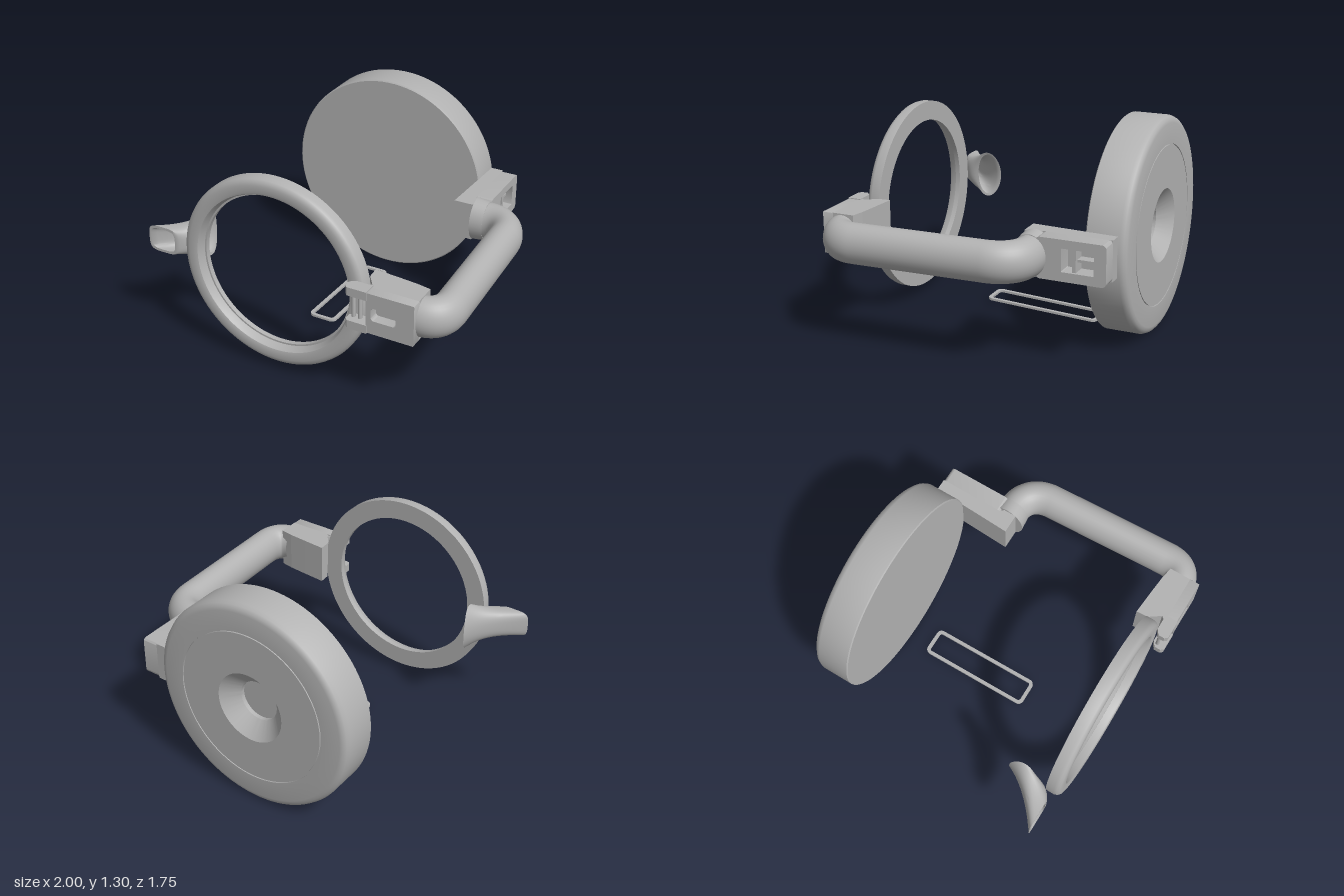
import * as THREE from 'three';
import { toCreasedNormals } from 'three/addons/utils/BufferGeometryUtils.js';

const CX = -0.13, CY = 0.655; // shared axis of the disc and ring
const grey = new THREE.MeshStandardMaterial({ color: 0xb2b2b2 });
grey.name = 'grey';

function part(name, geometry, parent, x = 0, y = 0, z = 0) {
  const mesh = new THREE.Mesh(geometry, grey);
  mesh.name = name;
  mesh.position.set(x, y, z);
  parent.add(mesh);
  return mesh;
}

const box = (x0, x1, y0, y1, z0, z1) =>
  new THREE.BoxGeometry(x1 - x0, y1 - y0, z1 - z0)
    .translate((x0 + x1) / 2, (y0 + y1) / 2, (z0 + z1) / 2);

// Turned part about the z axis, from [radius, z] points
function turned(points) {
  const geo = new THREE.LatheGeometry(points.map(p => new THREE.Vector2(...p)), 96);
  return toCreasedNormals(geo.rotateX(Math.PI / 2), 0.6);
}

// Plan outline in x, z extruded upward
function prism(points, y0, y1) {
  const shape = new THREE.Shape(points.map(([x, z]) => new THREE.Vector2(x, -z)));
  return new THREE.ExtrudeGeometry(shape, { depth: y1 - y0, bevelEnabled: false })
    .rotateX(-Math.PI / 2).translate(0, y0, 0);
}

function roundRect(path, x0, x1, y0, y1, r) {
  path.absarc(x1 - r, y0 + r, r, -Math.PI / 2, 0);
  path.absarc(x1 - r, y1 - r, r, 0, Math.PI / 2);
  path.absarc(x0 + r, y1 - r, r, Math.PI / 2, Math.PI);
  path.absarc(x0 + r, y0 + r, r, Math.PI, Math.PI * 1.5);
  path.closePath();
  return path;
}

// Rounded plate with a rounded window
function framePlate(outer, hole, depth) {
  const shape = roundRect(new THREE.Shape(), ...outer);
  shape.holes.push(roundRect(new THREE.Path(), ...hole));
  const geo = new THREE.ExtrudeGeometry(shape, { depth, bevelEnabled: false, curveSegments: 6 });
  return toCreasedNormals(geo, 0.6);
}

// Hollow curved spout, lofted from a forward mouth to a flared side foot
function spoutGeometry() {
  const v = (x, z) => new THREE.Vector2(x, z);
  const outerEdge = new THREE.QuadraticBezierCurve(v(-1, 0.75), v(-0.79, 0.6), v(-0.725, 0.45));
  const innerEdge = new THREE.QuadraticBezierCurve(v(-0.8, 0.75), v(-0.71, 0.71), v(-0.715, 0.63));
  const n = 14, m = 40, pos = [], index = [];
  const rows = [];
  for (let i = 0; i <= n; i++) rows.push([i / n, 0]);
  for (let i = n; i >= 0; i--) rows.push([i / n, 0.016]);
  rows.forEach(([t, wall]) => {
    const a = outerEdge.getPoint(t), b = innerEdge.getPoint(t);
    const mid = a.clone().add(b).multiplyScalar(0.5);
    const half = a.clone().sub(b).multiplyScalar(0.5);
    half.setLength(half.length() - wall);
    const h = 0.085 + 0.065 * t ** 2.2 - wall;
    const power = 0.5 + 0.5 * t; // boxy mouth, oval foot
    for (let j = 0; j < m; j++) {
      const q = j / m * Math.PI * 2, c = Math.cos(q), s = Math.sin(q);
      const u = Math.sign(c) * Math.abs(c) ** power;
      const y = h * Math.sign(s) * Math.abs(s) ** power;
      pos.push(mid.x + half.x * u + t ** 4 * y * y / 1.2, CY + 0.003 + y, mid.y + half.y * u);
    }
  });
  const R = rows.length;
  for (let i = 0; i < R; i++) for (let j = 0; j < m; j++) {
    const i2 = (i + 1) % R, j2 = (j + 1) % m;
    const a = i * m + j, b = i * m + j2, c = i2 * m + j, d = i2 * m + j2;
    index.push(a, b, c, b, d, c);
  }
  const geo = new THREE.BufferGeometry();
  geo.setAttribute('position', new THREE.Float32BufferAttribute(pos, 3));
  geo.setIndex(index);
  return toCreasedNormals(geo, 0.7);
}

export function createModel() {
  const model = new THREE.Group();
  model.name = 'explodedVessel';

  // Thick disc with a countersunk, grooved back
  part('baseDisc', turned([
    [0, -0.77], [0.125, -0.77], [0.125, -0.795], [0.22, -0.88],
    [0.477, -0.88], [0.477, -0.87], [0.484, -0.87], [0.484, -0.88],
    [0.605, -0.88], [0.625, -0.875], [0.641, -0.862], [0.65, -0.84],
    [0.65, -0.646], [0.643, -0.64], [0, -0.64],
  ]), model, CX, CY);

  // Rim ring with a rounded front and sloped inner seat
  part('rimRing', turned([
    [0.475, 0.70], [0.594, 0.70], [0.594, 0.75], [0.588, 0.768], [0.575, 0.78],
    [0.555, 0.785], [0.515, 0.785], [0.502, 0.781], [0.495, 0.77],
    [0.486, 0.73], [0.475, 0.73], [0.475, 0.70],
  ]), model, CX, CY);

  // Handle: oval tube with two bends
  const p = (x, z) => new THREE.Vector3(x, 0, z);
  const path = new THREE.CurvePath();
  path.add(new THREE.LineCurve3(p(0.62, -0.38), p(0.69, -0.38)));
  path.add(new THREE.CubicBezierCurve3(p(0.69, -0.38), p(0.79, -0.38), p(0.86, -0.31), p(0.865, -0.2)));
  path.add(new THREE.LineCurve3(p(0.865, -0.2), p(0.898, 0.6)));
  path.add(new THREE.CubicBezierCurve3(p(0.898, 0.6), p(0.9, 0.69), p(0.86, 0.745), p(0.76, 0.745)));
  part('handle', new THREE.TubeGeometry(path, 90, 0.1, 32).scale(1, 1.2, 1), model, 0, CY);
  part('handleCollar', new THREE.CylinderGeometry(0.102, 0.109, 0.08, 32)
    .rotateZ(-Math.PI / 2).scale(1, 1.22, 1), model, 0.65, CY, -0.38);

  // Upper bracket: block, windowed outer plate and latch ribs
  const upper = new THREE.Group();
  upper.name = 'upperBracket';
  model.add(upper);
  part('bracketBlock', prism([
    [0.515, -0.83], [0.59, -0.83], [0.59, -0.42], [0.61, -0.40],
    [0.61, -0.32], [0.49, -0.32], [0.495, -0.42],
  ], 0.535, 0.775), upper);
  part('bracketWindowPlate', framePlate(
    [0.42, 0.83, 0.535, 0.775, 0.025], [0.57, 0.76, 0.59, 0.725, 0.004], 0.1,
  ).rotateY(Math.PI / 2).translate(0.59, 0, 0), upper);
  part('latchRib', box(0.58, 0.675, 0.59, 0.725, -0.65, -0.63), upper);
  part('latchCrossRib', box(0.58, 0.65, 0.645, 0.66, -0.76, -0.65), upper);

  // Lower bracket: notched block, windowed front plate and hinge
  const lower = new THREE.Group();
  lower.name = 'lowerBracket';
  model.add(lower);
  part('bracketBlock', prism([
    [0.45, 0.625], [0.6, 0.638], [0.72, 0.65], [0.8, 0.665], [0.8, 0.80],
    [0.48, 0.80], [0.505, 0.77], [0.455, 0.70],
  ], 0.53, 0.782), lower);
  part('bracketWindowPlate', framePlate(
    [0.515, 0.802, 0.53, 0.782, 0.006], [0.545, 0.695, 0.615, 0.695, 0.018], 0.065,
  ).translate(0, 0, 0.798), lower);
  const lug = [[0.385, 0.81], [0.42, 0.787], [0.52, 0.787], [0.52, 0.868], [0.4, 0.868], [0.385, 0.85]];
  for (const y of [0.525, 0.735]) part('hingeLug', prism(lug, y, y + 0.052), lower);
  for (const x of [0.415, 0.455])
    part('hingePin', new THREE.CylinderGeometry(0.012, 0.012, 0.17, 16), lower, x, CY, 0.815);

  // Spout
  part('spout', spoutGeometry(), model);

  // Thin, slightly tilted rectangular gasket
  const gasket = part('gasketFrame', framePlate(
    [-0.09, 0.09, -0.366, 0.366, 0.035], [-0.068, 0.068, -0.344, 0.344, 0.015], 0.014,
  ).translate(0, 0, -0.007).rotateX(-Math.PI / 2), model, -0.135, 0.029, -0.135);
  gasket.rotation.x = -0.047;

  return model;
}
